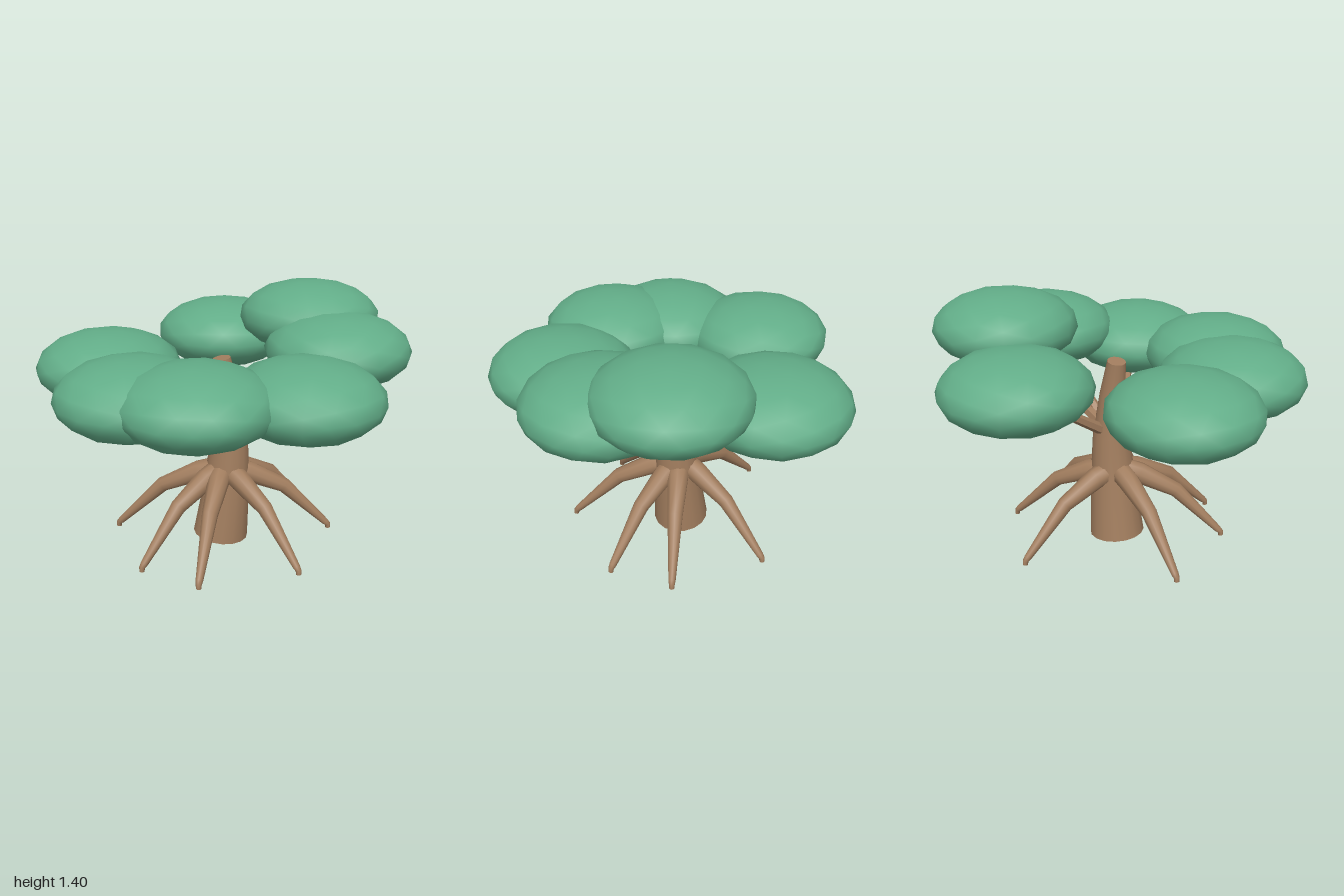
import * as THREE from 'three';

// Tapered limb swept along points [x, y, z, radius]; "side" is a horizontal vector across the bend.
function limb(points, sides, side, flat = false) {
  const P = points.map(p => new THREE.Vector3(p[0], p[1], p[2]));
  const pos = [], index = [], last = P.length - 1;
  const ring = k => {
    const T = P[Math.min(k + 1, last)].clone().sub(P[Math.max(k - 1, 0)]).normalize();
    const U = new THREE.Vector3().crossVectors(T, side).normalize();
    const V = new THREE.Vector3().crossVectors(T, U);
    const start = pos.length / 3;
    for (let j = 0; j < sides; j++) {
      const a = (j / sides) * Math.PI * 2;
      const v = P[k].clone()
        .addScaledVector(U, Math.cos(a) * points[k][3])
        .addScaledVector(V, Math.sin(a) * points[k][3]);
      pos.push(v.x, v.y, v.z);
    }
    return start;
  };
  // walls
  for (let k = 0; k <= last; k++) {
    const s = ring(k);
    if (k === last) break;
    for (let j = 0; j < sides; j++) {
      const n = (j + 1) % sides;
      index.push(s + j, s + n, s + sides + n, s + j, s + sides + n, s + sides + j);
    }
  }
  // end caps with their own vertices
  for (const k of [0, last]) {
    const s = ring(k);
    const c = pos.length / 3;
    pos.push(P[k].x, P[k].y, P[k].z);
    for (let j = 0; j < sides; j++) {
      const n = (j + 1) % sides;
      if (k === 0) index.push(c, s + n, s + j);
      else index.push(c, s + j, s + n);
    }
  }
  let g = new THREE.BufferGeometry();
  g.setAttribute('position', new THREE.Float32BufferAttribute(pos, 3));
  g.setIndex(index);
  if (flat) g = g.toNonIndexed();
  g.computeVertexNormals();
  return g;
}

export function createModel() {
  const group = new THREE.Group();
  const bark = new THREE.MeshStandardMaterial({ color: 0xa17d5e });
  bark.name = 'bark brown';
  const leaf = new THREE.MeshStandardMaterial({ color: 0x62ad88 });
  leaf.name = 'leaf green';
  const add = (geometry, material, name) => {
    const mesh = new THREE.Mesh(geometry, material);
    mesh.name = name;
    group.add(mesh);
    return mesh;
  };

  // slightly bowed, tapering trunk
  add(limb([
    [-0.015, 0.015, 0, 0.155],
    [0.02, 0.33, 0, 0.128],
    [0.035, 0.62, 0, 0.102],
    [0.024, 0.86, 0, 0.07],
    [-0.01, 1.06, 0, 0.05],
  ], 16, new THREE.Vector3(0, 0, 1)), bark, 'trunk');

  // each leaf clump has a branch leading to it and a prop root below it
  const clumps = [
    [0.61, 1.1, 0], [0.365, 1.0, 0.49], [-0.165, 1.02, 0.595], [-0.46, 1.0, 0.41],
    [-0.61, 1.0, -0.1], [0.045, 1.05, -0.605], [0.51, 1.205, -0.34],
  ];
  const foliage = new THREE.IcosahedronGeometry(1, 2);
  for (const [x, y, z] of clumps) {
    const angle = Math.atan2(z, x);
    const cos = Math.cos(angle), sin = Math.sin(angle);
    const side = new THREE.Vector3(-sin, 0, cos);

    const clump = add(foliage, leaf, 'leafClump');
    clump.position.set(x, y, z);
    clump.scale.set(0.392, 0.195, 0.392);
    clump.rotation.y = -angle;

    // thin faceted branch
    add(limb([[0.03, 0.62, 0, 0.034], [x, y - 0.02, z, 0.018]], 6, side, true), bark, 'branch');

    // arched root: out from the trunk, over a knee, down to a small foot
    const path = [
      [0.05, 0.415, 0.062], [0.14, 0.392, 0.06], [0.345, 0.3, 0.043],
      [0.595, 0.055, 0.02], [0.61, 0.04, 0.016], [0.612, 0.018, 0.014],
    ];
    add(limb(path.map(([r, h, w]) => [r * cos, h, r * sin, w]), 10, side), bark, 'propRoot');
  }
  return group;
}
